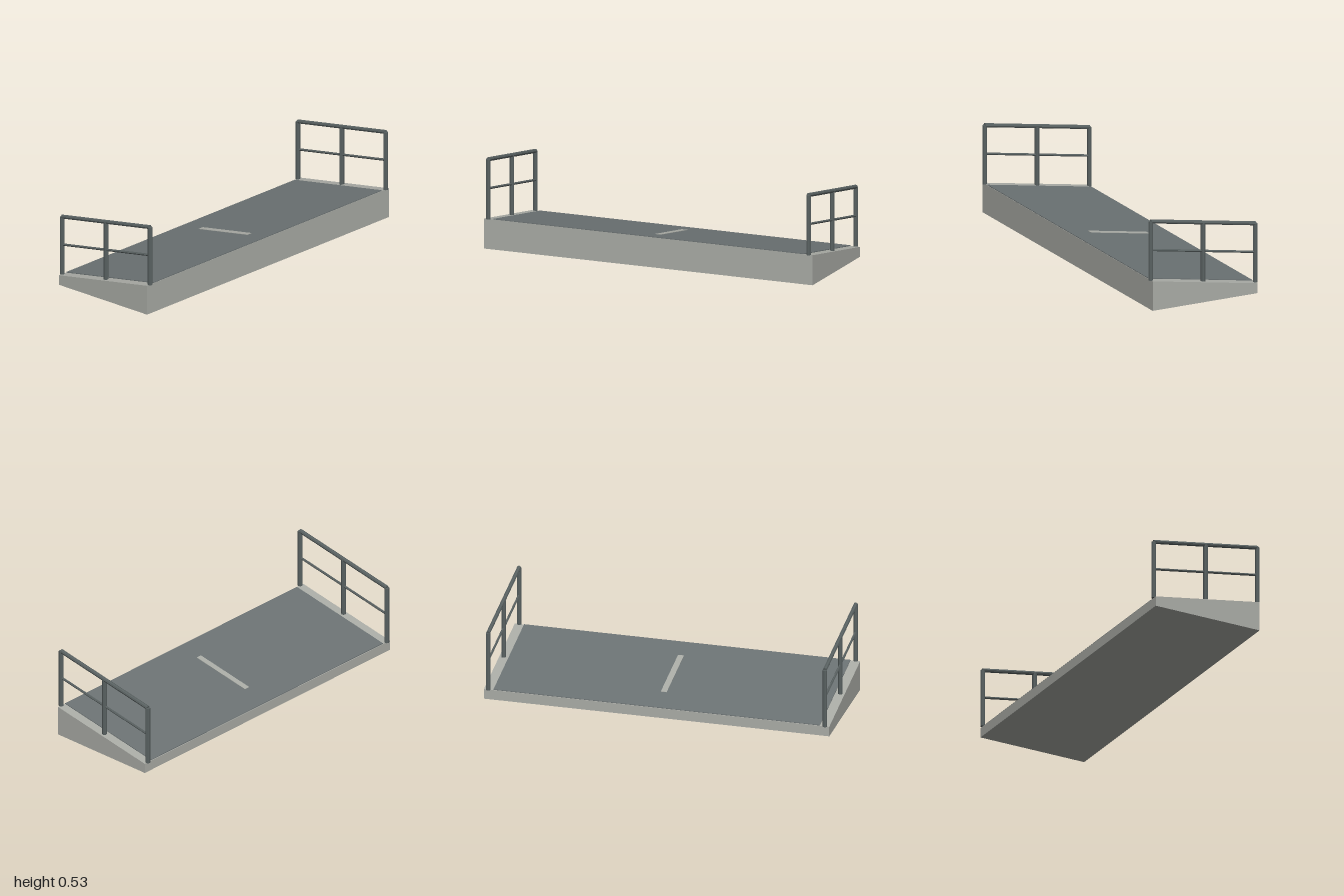
import * as THREE from 'three';

const concrete = new THREE.MeshStandardMaterial({ name: 'concrete', color: 0xabada7 });
const deckGrey = new THREE.MeshStandardMaterial({ name: 'deck grey', color: 0x6c7374 });
const steel = new THREE.MeshStandardMaterial({ name: 'dark steel', color: 0x596161, flatShading: true });

const HALF = 0.333;
const slope = (x) => 0.116 + x * 0.174; // height of the ramp surface

// Sloped prism between two heights, extruded along z
function slopedSlab(name, x0, x1, depth, bottom, top, material) {
  const profile = new THREE.Shape([
    new THREE.Vector2(x0, bottom(x0)),
    new THREE.Vector2(x1, bottom(x1)),
    new THREE.Vector2(x1, top(x1)),
    new THREE.Vector2(x0, top(x0)),
  ]);
  const geometry = new THREE.ExtrudeGeometry(profile, { depth, bevelEnabled: false });
  geometry.translate(0, 0, -depth / 2);
  const mesh = new THREE.Mesh(geometry, material);
  mesh.name = name;
  return mesh;
}

// Faceted bar between two points in the x-y plane
function bar(name, x0, y0, x1, y1, radius, sides) {
  const dx = x1 - x0, dy = y1 - y0;
  const mesh = new THREE.Mesh(new THREE.CylinderGeometry(radius, radius, Math.hypot(dx, dy), sides), steel);
  mesh.position.set((x0 + x1) / 2, (y0 + y1) / 2, 0);
  mesh.rotation.z = -Math.atan2(dx, dy);
  mesh.name = name;
  return mesh;
}

// Railing with three posts, a hand rail and a thinner middle rail
function railing(name, z) {
  const group = new THREE.Group();
  group.name = name;
  for (const x of [-HALF, 0, HALF]) {
    group.add(bar('post', x, slope(x), x, slope(x) + 0.345, 0.0135, 8));
  }
  const rail = (label, height, radius, sides) =>
    bar(label, -HALF, slope(-HALF) + height, HALF, slope(HALF) + height, radius, sides);
  group.add(rail('handRail', 0.346, 0.012, 8), rail('middleRail', 0.178, 0.007, 6));
  group.position.z = z;
  return group;
}

export function createModel() {
  const model = new THREE.Group();
  model.name = 'loadingRamp';

  // Wedge body, deck sheet and centre marking
  const above = (offset) => (x) => slope(x) + offset;
  model.add(
    slopedSlab('rampBody', -HALF, HALF, 2, () => 0, slope, concrete),
    slopedSlab('deckSheet', -0.33, 0.33, 1.89, slope, above(0.004), deckGrey),
    slopedSlab('centreMarking', -0.177, 0.194, 0.034, above(0.004), above(0.006), concrete),
  );

  // Railings at both ends
  model.add(railing('frontRailing', 0.975), railing('backRailing', -0.975));
  return model;
}
